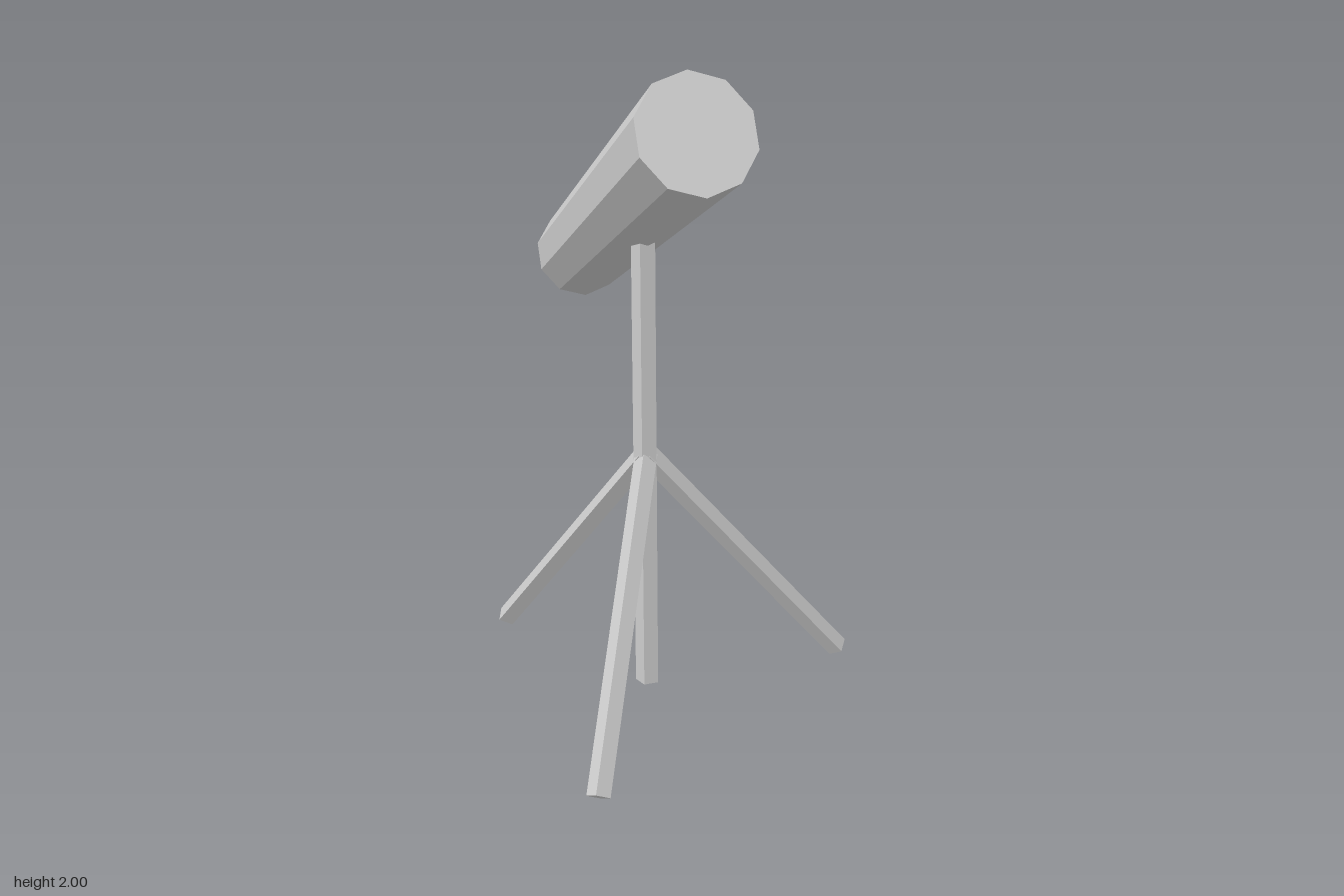
import * as THREE from 'three';

export function createModel() {
  const model = new THREE.Group();
  model.name = 'telescope';

  const grey = new THREE.MeshStandardMaterial({ color: 0xcccccc, flatShading: true });
  grey.name = 'light grey';

  const addPart = (name, geometry, parent) => {
    const mesh = new THREE.Mesh(geometry, grey);
    mesh.name = name;
    parent.add(mesh);
    return mesh;
  };

  // Ten-sided tube, slightly wider at the raised front end
  const front = new THREE.Vector3(-0.165, 1.8475, 0.5525);
  const back = new THREE.Vector3(-0.165, 1.2525, -0.625);
  const tube = addPart('tube', new THREE.CylinderGeometry(0.171, 0.145, front.distanceTo(back), 10), model);
  tube.position.copy(front).add(back).multiplyScalar(0.5);
  tube.rotation.x = Math.atan2(front.z - back.z, front.y - back.y);

  // Stand: the post and legs share one vertical axis
  const stand = new THREE.Group();
  stand.name = 'stand';
  stand.position.set(-0.165, 0, 0.097);
  model.add(stand);

  // Five-sided post, flat face forward, ending inside the tube
  const bottom = 0.026, top = 1.55;
  const post = addPart('post', new THREE.CylinderGeometry(0.039, 0.039, top - bottom, 5), stand);
  post.position.y = (top + bottom) / 2;
  post.rotation.y = Math.PI;

  // Three square legs, edge up, spread evenly around the post
  const reach = 0.66, footY = 0.023, hipY = 0.8;
  for (let i = 0; i < 3; i++) {
    const pivot = new THREE.Group();
    pivot.name = 'legPivot' + (i + 1);
    pivot.rotation.y = (i * Math.PI * 2) / 3;
    stand.add(pivot);
    const leg = addPart('leg' + (i + 1),
      new THREE.CylinderGeometry(0.035, 0.035, Math.hypot(reach, hipY - footY), 4), pivot);
    leg.position.set(reach / 2, (footY + hipY) / 2, 0);
    leg.rotation.z = Math.atan2(reach, hipY - footY);
  }

  return model;
}
